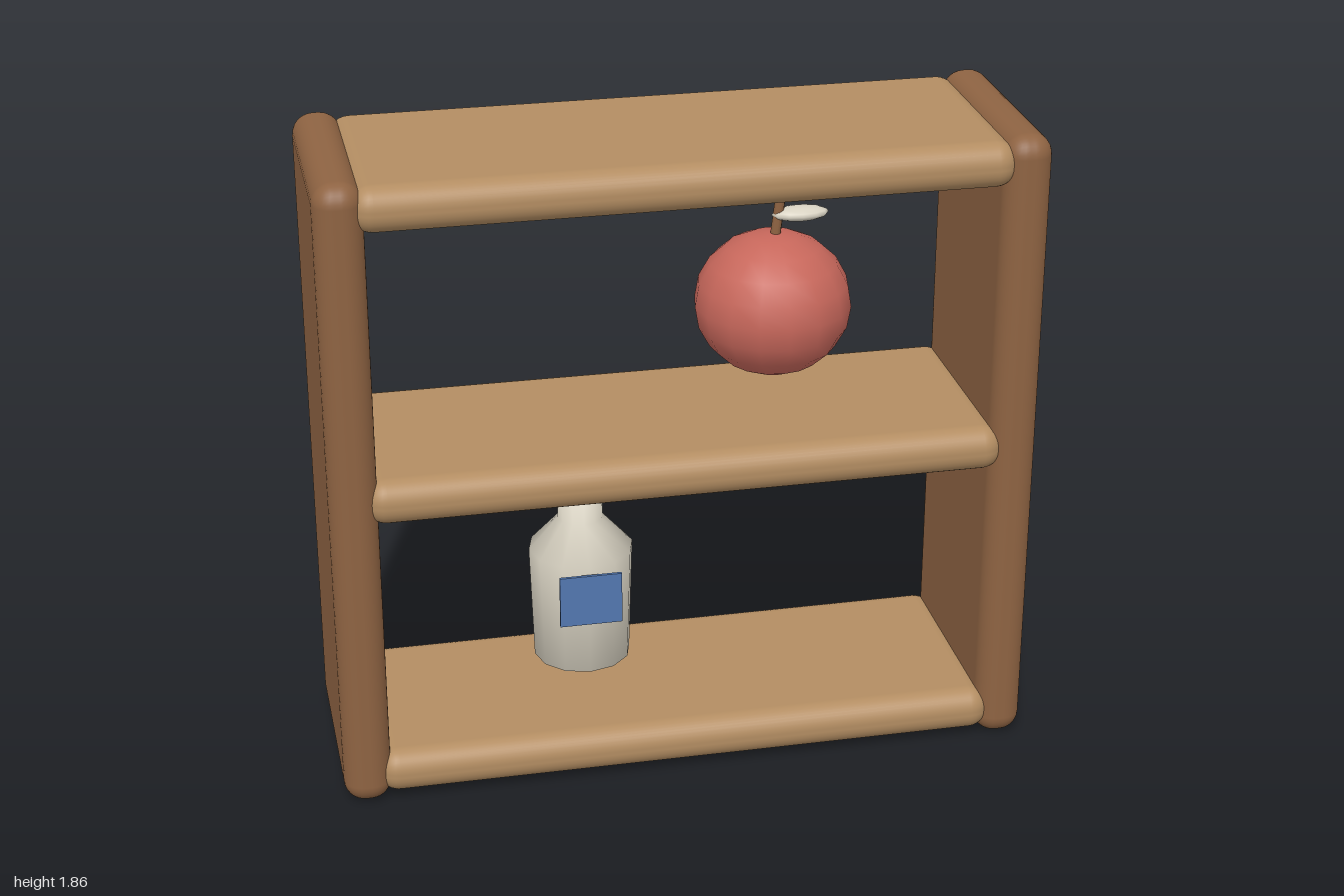
import * as THREE from 'three';
import { RoundedBoxGeometry } from 'three/addons/geometries/RoundedBoxGeometry.js';

export function createModel() {
  const model = new THREE.Group();
  model.name = 'shelfUnit';

  const material = (name, color) => {
    const m = new THREE.MeshStandardMaterial({ color });
    m.name = name;
    return m;
  };
  const darkWood = material('darkWood', 0x8e6342);
  const lightWood = material('lightWood', 0xb38d62);
  const red = material('red', 0xc7675b);
  const cream = material('cream', 0xd8d2c2);
  const blue = material('blue', 0x5377b0);

  const add = (parent, name, geometry, mat, x, y, z) => {
    const mesh = new THREE.Mesh(geometry, mat);
    mesh.name = name;
    mesh.position.set(x, y, z);
    parent.add(mesh);
    return mesh;
  };

  // Upright side panels
  const panel = new RoundedBoxGeometry(0.135, 1.86, 0.67, 4, 0.06);
  add(model, 'leftPanel', panel, darkWood, 0.9325, 0.93, 0);
  add(model, 'rightPanel', panel, darkWood, -0.9325, 0.93, 0);

  // Shelves, slightly let into the panels
  const board = new RoundedBoxGeometry(1.805, 0.13, 0.67, 4, 0.06);
  [['bottomShelf', 0.085], ['middleShelf', 0.935], ['topShelf', 1.78]].forEach(
    ([name, y]) => add(model, name, board, lightWood, 0, y, 0)
  );

  // Fruit with stem and leaf
  const fruit = new THREE.Group();
  fruit.name = 'fruit';
  fruit.position.set(0.3, 1.31, 0);
  model.add(fruit);
  add(fruit, 'fruitBody', new THREE.SphereGeometry(0.224, 16, 10), red, 0, 0, 0).scale.y = 0.93;
  const stem = add(fruit, 'stem', new THREE.CylinderGeometry(0.015, 0.015, 0.13, 8), darkWood, 0.01, 0.245, 0);
  stem.rotation.z = -0.12;
  const leaf = add(fruit, 'leaf', new THREE.SphereGeometry(1, 12, 8), cream, 0.075, 0.26, 0);
  leaf.scale.set(0.082, 0.021, 0.04);

  // Bottle with square cap and front label
  const bottle = new THREE.Group();
  bottle.name = 'bottle';
  bottle.position.set(-0.26, 0.25, 0);
  model.add(bottle);
  const profile = [[0, 0], [0.141, 0], [0.152, 0.345], [0.066, 0.44], [0.066, 0.54], [0, 0.54]]
    .map(([r, y]) => new THREE.Vector2(r, y));
  const body = add(bottle, 'bottleBody', new THREE.LatheGeometry(profile, 12), cream, 0, 0, 0);
  body.rotation.y = Math.PI / 2;
  add(bottle, 'cap', new RoundedBoxGeometry(0.15, 0.042, 0.15, 3, 0.02), blue, 0, 0.541, 0);
  add(bottle, 'label', new THREE.BoxGeometry(0.18, 0.156, 0.009), blue, 0, 0.25, 0.163);

  return model;
}
